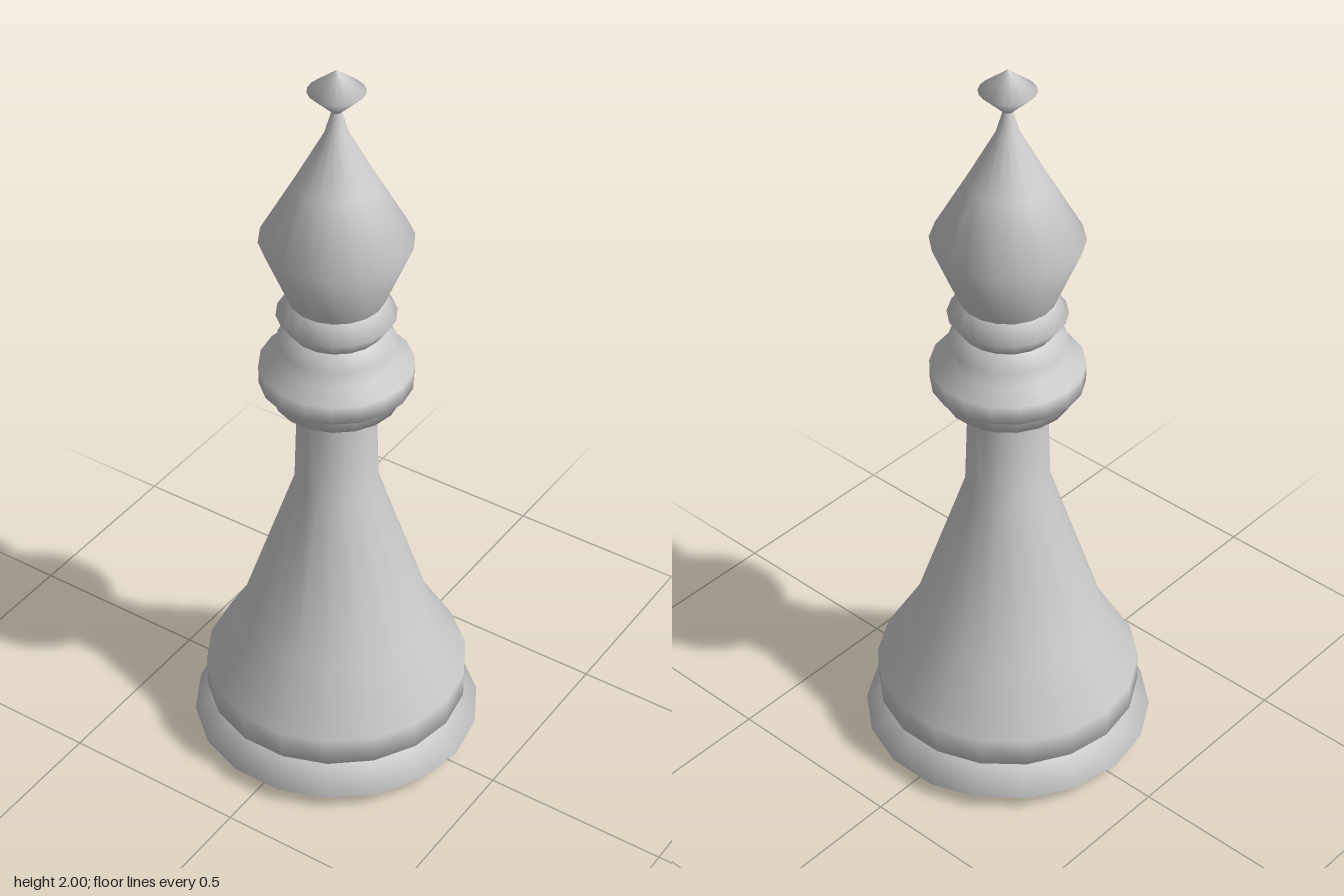
import * as THREE from 'three';

const SIDES = 18;
const material = new THREE.MeshStandardMaterial({ color: 0xcccccc });

// Turned parts as [radius, height] profiles from bottom to top
const PROFILES = {
  underside: [[0, 0], [0.3, 0.005]],
  base: [[0.3, 0.005], [0.385, 0.04], [0.29, 0.095]],
  body: [[0.29, 0.095], [0.35, 0.13], [0.35, 0.21], [0.255, 0.37], [0.106, 0.81], [0.098, 1.05]],
  lowerCollar: [[0.098, 1.05], [0.162, 1.075], [0.162, 1.12]],
  collar: [[0.162, 1.12], [0.195, 1.125], [0.195, 1.175], [0.15, 1.2], [0.15, 1.245], [0.118, 1.28]],
  neckRing: [[0.118, 1.28], [0.15, 1.325], [0.12, 1.37]],
  head: [[0.12, 1.37], [0.19, 1.54], [0.1, 1.7], [0.03, 1.83], [0.012, 1.89]],
  finial: [[0.012, 1.89], [0.07, 1.945], [0, 2]],
};

function turnedPart(name, profile) {
  const points = profile.map(([r, y]) => new THREE.Vector2(r, y));
  const geometry = new THREE.LatheGeometry(points, SIDES, Math.PI / 2);
  const mesh = new THREE.Mesh(geometry, material);
  mesh.name = name;
  return mesh;
}

export function createModel() {
  const group = new THREE.Group();
  group.name = 'chessPiece';
  for (const [name, profile] of Object.entries(PROFILES)) {
    group.add(turnedPart(name, profile));
  }

  // The slim stem is slightly deeper than wide
  const position = group.getObjectByName('body').geometry.attributes.position;
  for (let i = 0; i < position.count; i++) {
    if (position.getY(i) > 0.8) position.setZ(i, position.getZ(i) * 1.07);
  }
  return group;
}
